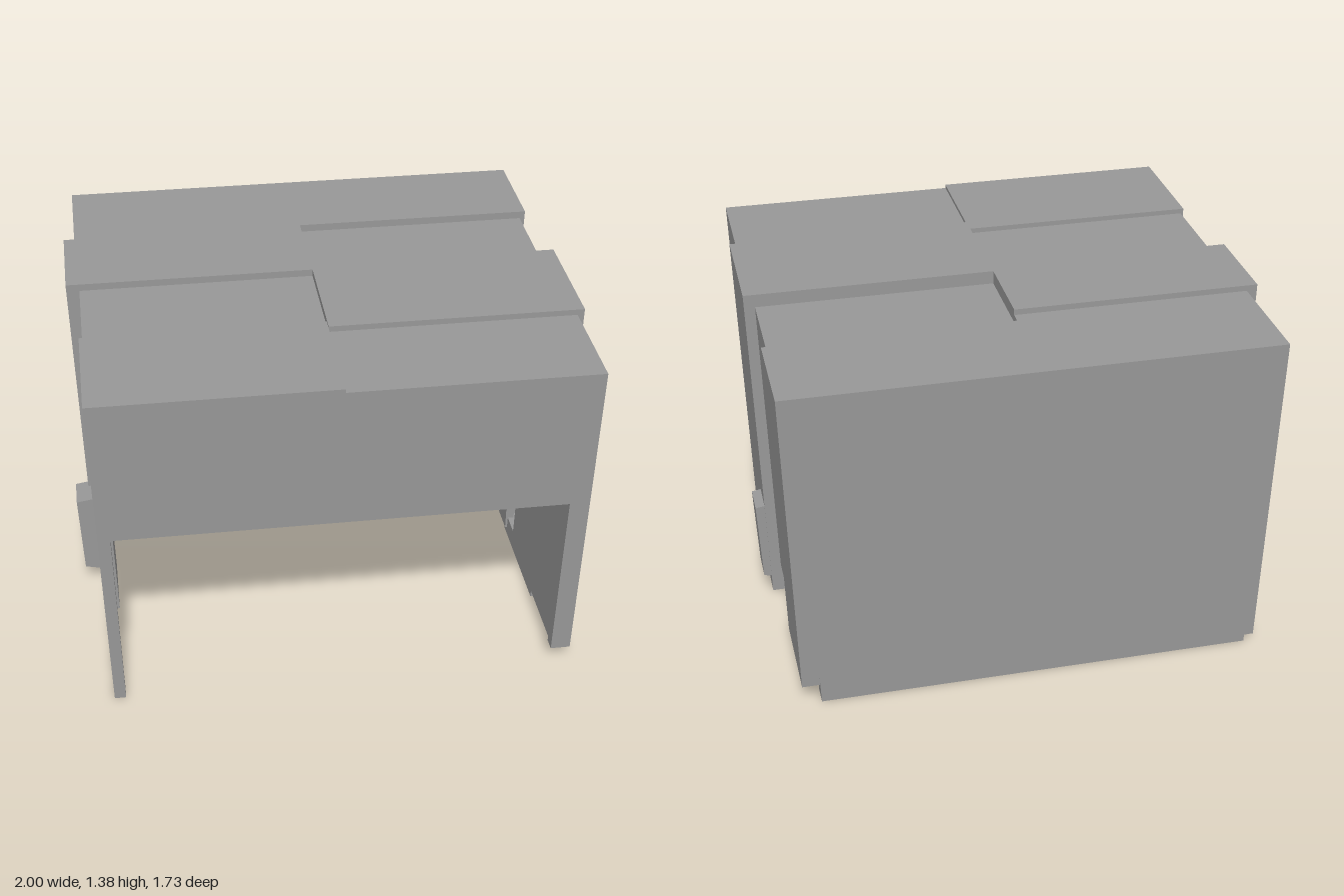
import * as THREE from 'three';

const material = new THREE.MeshStandardMaterial({ color: 0x989898, flatShading: true });
const END = 0.865;

// Extrudes an x-y outline between two z values; end faces lean inwards towards the ground.
function prism(name, points, zBack, zFront) {
  const shape = new THREE.Shape(points.map(([x, y]) => new THREE.Vector2(x, y)));
  const geometry = new THREE.ExtrudeGeometry(shape, { depth: zFront - zBack, bevelEnabled: false });
  geometry.translate(0, 0, zBack);
  const p = geometry.attributes.position;
  for (let i = 0; i < p.count; i++) {
    const z = p.getZ(i);
    if (Math.abs(z) > END - 0.005) p.setZ(i, Math.sign(z) * (0.837 + 0.029 * p.getY(i) / 1.37));
  }
  geometry.computeVertexNormals();
  const mesh = new THREE.Mesh(geometry, material);
  mesh.name = name;
  return mesh;
}

const mirror = (side, points) => points.map(([x, y]) => [side * x, y]);

// One panel: half of the roof with its leaning side wall, plus optional wall pieces below it.
function panel(name, side, { back, front, x, top, bottom, wall, skirts = [] }) {
  const group = new THREE.Group();
  group.name = name;
  const outer = (y) => x * (0.965 + 0.035 * y / top);
  const inner = (y) => outer(y) - wall;
  const roof = top - 0.06;
  group.add(prism('roofAndWall', mirror(side, [
    [0, top], [outer(top), top], [outer(bottom), bottom],
    [inner(bottom), bottom], [inner(roof), roof], [0, roof],
  ]), back, front));
  for (const [low, high, zBack, zFront] of skirts) {
    group.add(prism('skirt', mirror(side, [
      [outer(low), low], [outer(high), high], [inner(high), high], [inner(low), low],
    ]), zBack, zFront));
  }
  return group;
}

export function createModel() {
  const model = new THREE.Group();
  model.name = 'panelledShell';

  // Staggered panels, front to back; the second of each side leaves room for a wall pocket
  const leftPanels = [
    { back: 0.433, front: END, x: 0.96, top: 1.36, bottom: 0.057, wall: 0.07 },
    { back: -0.058, front: 0.433, x: 0.987, top: 1.383, bottom: 0.42, wall: 0.085,
      skirts: [[0, 0.42, 0.08, 0.433], [0, 0.08, -0.05, 0.08], [0, 0.42, -0.058, -0.05]] },
    { back: -0.453, front: -0.058, x: 0.943, top: 1.33, bottom: 0.125, wall: 0.05 },
    { back: -END, front: -0.453, x: 0.965, top: 1.36, bottom: 0.083, wall: 0.07 },
  ];
  const rightPanels = [
    { back: 0.38, front: END, x: 0.932, top: 1.375, bottom: 0, wall: 0.03 },
    { back: -0.02, front: 0.38, x: 0.92, top: 1.355, bottom: 0.42, wall: 0.035,
      skirts: [[0.08, 0.42, 0.08, 0.38]] },
    { back: -0.406, front: -0.02, x: 0.972, top: 1.383, bottom: 0.055, wall: 0.05 },
    { back: -END, front: -0.406, x: 0.93, top: 1.36, bottom: 0.03, wall: 0.045 },
  ];
  leftPanels.forEach((p, i) => model.add(panel(`leftPanel${i + 1}`, 1, p)));
  rightPanels.forEach((p, i) => model.add(panel(`rightPanel${i + 1}`, -1, p)));

  // Front frame around the opening, and the full back wall
  model.add(prism('frontFrame', [
    [0.915, 0.057], [0.94, 1.31], [-0.915, 1.32], [-0.89, 0],
    [-0.855, 0], [-0.87, 0.78], [0.867, 0.78], [0.85, 0.057],
  ], 0.787, END));
  model.add(prism('backWall', [[-0.86, 0], [0.86, 0], [0.905, 1.32], [-0.9, 1.32]], -END, -0.76));

  for (const [side, word, railTop] of [[1, 'left', 0.13], [-1, 'right', 0.07]]) {
    // Low inner rail along the foot of the rear panels
    model.add(prism(`${word}FootRail`, mirror(side,
      [[0.86, 0.03], [0.895, 0.03], [0.895, railTop], [0.86, railTop]]), -0.76, -0.02));

    // Small pocket bulging out of the side wall, open to the inside
    const pocket = new THREE.Group();
    pocket.name = `${word}Pocket`;
    const skin = [[0.875, 0.055], [0.985, 0.08], [1, 0.415], [0.875, 0.435]];
    const lining = [[0.875, 0.42], [0.985, 0.4], [0.97, 0.095], [0.875, 0.075]];
    pocket.add(prism('pocketShell', mirror(side, [...skin, ...lining]), -0.05, 0.075));
    pocket.add(prism('pocketBackEnd', mirror(side, skin), -0.055, -0.05));
    pocket.add(prism('pocketFrontEnd', mirror(side, skin), 0.075, 0.08));
    model.add(pocket);
  }
  return model;
}
